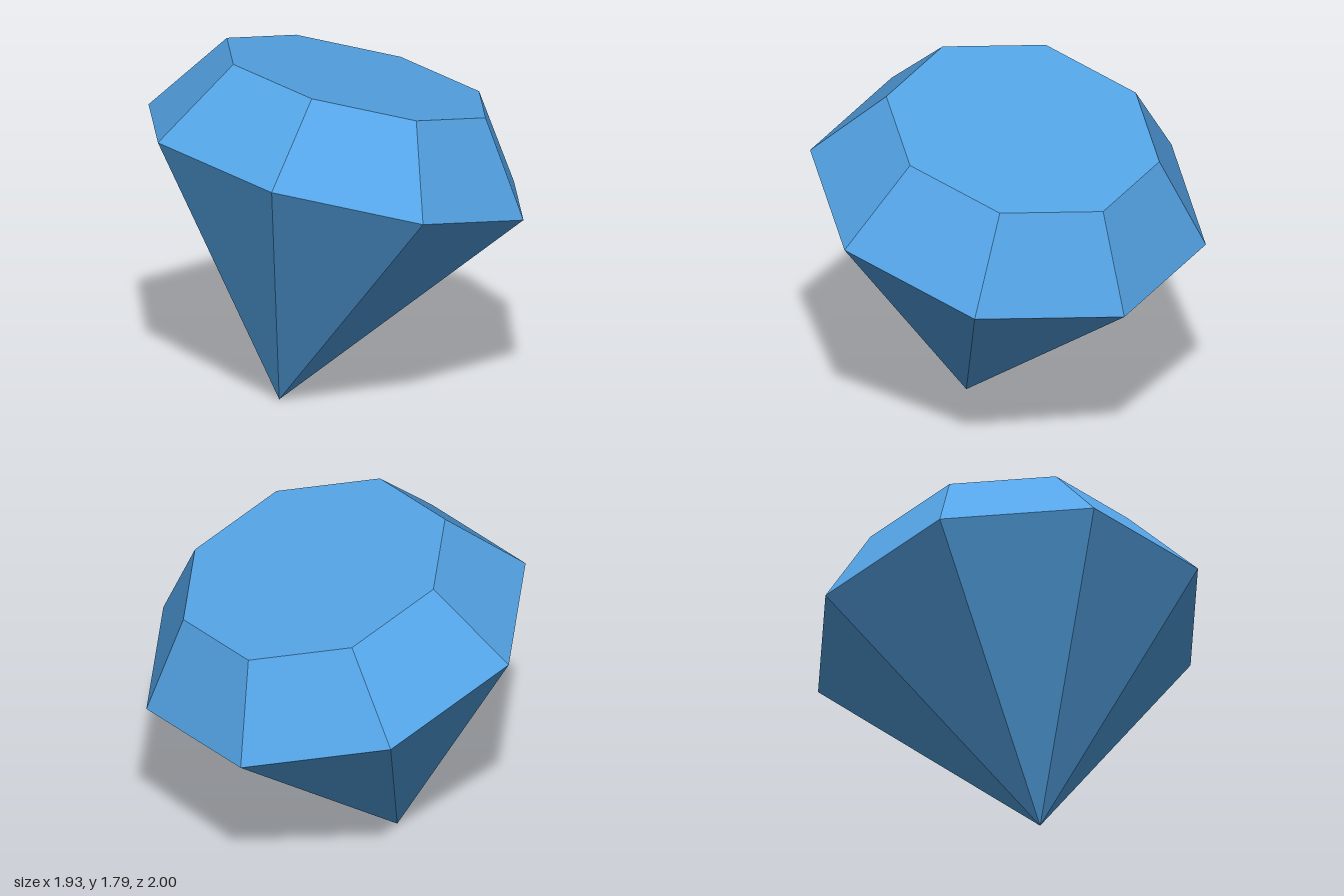
import * as THREE from 'three';

const SIDES = 8;
const GIRDLE_RADIUS = 1;
const TABLE_RADIUS = 0.69;
const CROWN_HEIGHT = 0.438;
const PAVILION_DEPTH = 1.23;

export function createModel() {
  const gemBlue = new THREE.MeshStandardMaterial({ color: 0x55a5e8, flatShading: true });
  gemBlue.name = 'gem blue';

  // The gem is cut about its own upright axis, with the girdle at y = 0
  const gem = new THREE.Group();
  gem.name = 'gem';
  const addPart = (name, geometry, y) => {
    const mesh = new THREE.Mesh(geometry, gemBlue);
    mesh.name = name;
    mesh.position.y = y;
    gem.add(mesh);
  };

  // Flat octagonal face on top
  addPart('table', new THREE.CircleGeometry(TABLE_RADIUS, SIDES).rotateX(-Math.PI / 2), CROWN_HEIGHT);
  // Sloping facets between table and girdle
  addPart('crown', new THREE.CylinderGeometry(TABLE_RADIUS, GIRDLE_RADIUS, CROWN_HEIGHT, SIDES, 1, true), CROWN_HEIGHT / 2);
  // Long facets running down to the point
  addPart('pavilion', new THREE.CylinderGeometry(GIRDLE_RADIUS, 0, PAVILION_DEPTH, SIDES, 1, true), -PAVILION_DEPTH / 2);

  // Small twist about the axis, then lean to the side and stand on the point
  const tilt = THREE.MathUtils.degToRad(15);
  gem.rotation.set(0, THREE.MathUtils.degToRad(-3.6), -tilt, 'ZYX');
  gem.position.y = PAVILION_DEPTH * Math.cos(tilt);

  const model = new THREE.Group();
  model.name = 'cut gemstone';
  model.add(gem);
  return model;
}
